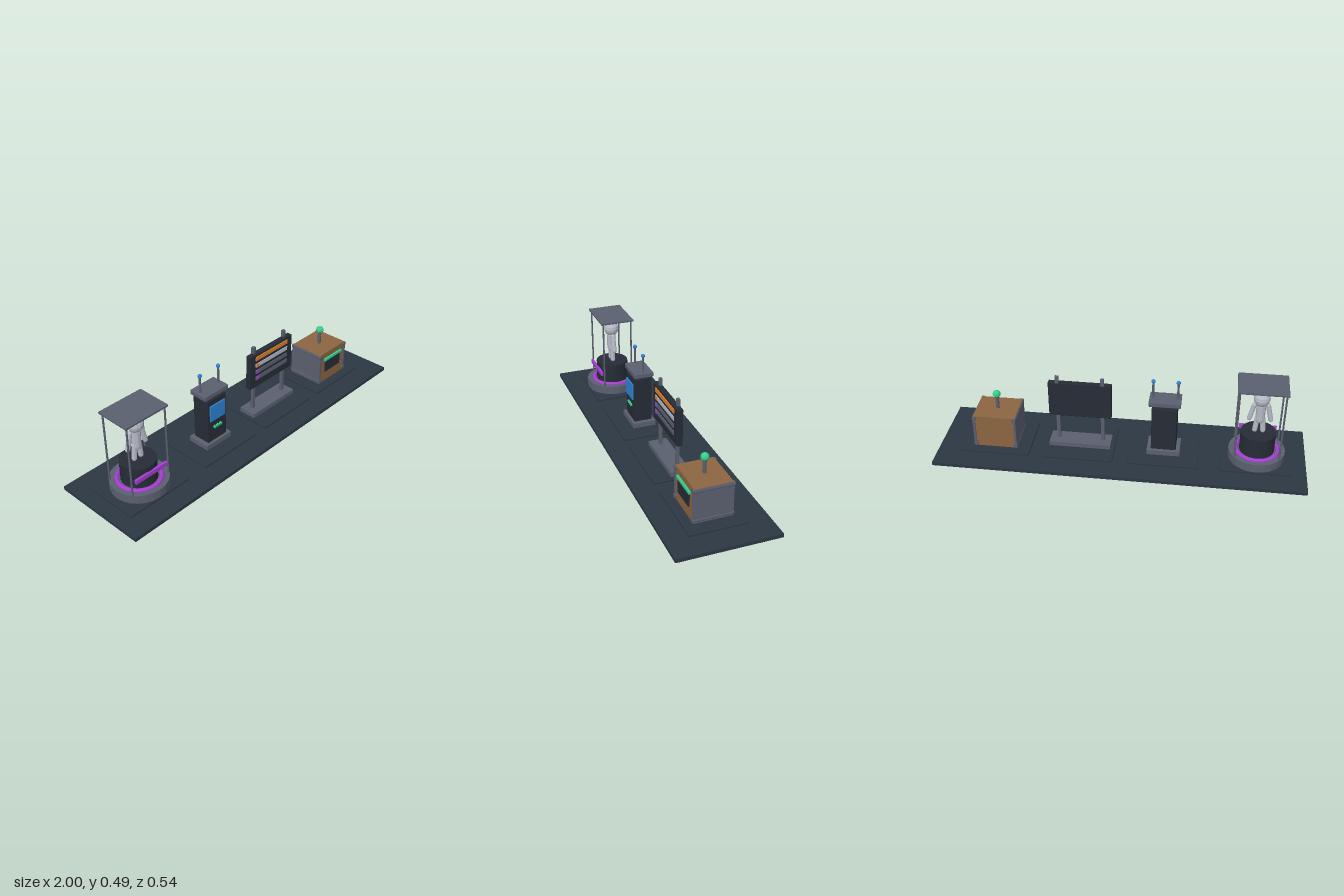
import * as THREE from 'three';
import { RoundedBoxGeometry } from 'three/addons/geometries/RoundedBoxGeometry.js';

const paint = (name, color) => {
  const m = new THREE.MeshStandardMaterial({ color });
  m.name = name;
  return m;
};

export function createModel() {
  const base = paint('slate', 0x2d3743);
  const dark = paint('charcoal', 0x262c36);
  const gray = paint('steel', 0x5b6070);
  const light = paint('pale grey', 0xb6bac6);
  const brown = paint('wood', 0x8c6541);
  const purple = paint('purple', 0xa63fd2);
  const blue = paint('blue', 0x2f82d4);
  const green = paint('green', 0x34cf8c);
  const orange = paint('orange', 0xe07f2e);

  const model = new THREE.Group();
  model.name = 'exhibitRow';

  // Faceted normals for round parts
  const facet = (g) => {
    const f = g.index ? g.toNonIndexed() : g;
    f.computeVertexNormals();
    return f;
  };
  const add = (parent, name, geo, mat, x = 0, y = 0, z = 0) => {
    const m = new THREE.Mesh(geo, mat);
    m.name = name;
    m.position.set(x, y, z);
    parent.add(m);
    return m;
  };
  // Box given by centre x, bottom and top y, centre z, width and depth
  const box = (p, name, mat, x, y0, y1, z, w, d, bevel = 0.002) =>
    add(p, name, bevel ? new RoundedBoxGeometry(w, y1 - y0, d, 1, bevel)
      : new THREE.BoxGeometry(w, y1 - y0, d), mat, x, (y0 + y1) / 2, z);
  const cyl = (p, name, mat, x, y0, y1, z, r, sides = 10) =>
    add(p, name, facet(new THREE.CylinderGeometry(r, r, y1 - y0, sides)), mat, x, (y0 + y1) / 2, z);
  const ball = (p, name, mat, x, y, z, r, w = 16, h = 12) =>
    add(p, name, facet(new THREE.SphereGeometry(r, w, h)), mat, x, y, z);
  // Capsule running between two points
  const limb = (p, name, a, b, r) => {
    const A = new THREE.Vector3(...a), B = new THREE.Vector3(...b);
    const dir = B.clone().sub(A);
    const m = add(p, name, facet(new THREE.CapsuleGeometry(r, dir.length(), 4, 10)), light);
    m.position.copy(A).add(B).multiplyScalar(0.5);
    m.quaternion.setFromUnitVectors(new THREE.Vector3(0, 1, 0), dir.normalize());
  };
  // Each exhibit stands on its own thin pad
  const exhibit = (name, x) => {
    const g = new THREE.Group();
    g.name = name;
    g.position.x = x;
    model.add(g);
    box(g, 'pad', base, 0, 0.02, 0.032, 0, 0.38, 0.304);
    return g;
  };

  box(model, 'groundSlab', base, 0, 0, 0.022, 0, 2, 0.54);

  // Statue under a canopy
  const statue = exhibit('statueDisplay', -0.733);
  cyl(statue, 'plinthBase', gray, 0, 0.032, 0.08, 0, 0.152, 24);
  const ring = add(statue, 'glowRing', new THREE.TorusGeometry(0.112, 0.012, 8, 32), purple, 0, 0.08, 0);
  ring.rotation.x = Math.PI / 2;
  cyl(statue, 'plinth', dark, 0, 0.08, 0.195, 0, 0.094, 24);
  box(statue, 'namePlate', purple, 0, 0.143, 0.168, 0.095, 0.204, 0.014);
  ball(statue, 'head', light, 0, 0.401, 0, 0.044, 12, 8);
  limb(statue, 'torso', [0, 0.36, 0], [0, 0.275, 0], 0.025);
  for (const s of [-1, 1]) {
    limb(statue, 'arm', [s * 0.036, 0.362, 0], [s * 0.056, 0.275, 0], 0.013);
    limb(statue, 'leg', [s * 0.014, 0.28, 0], [s * 0.021, 0.205, 0], 0.014);
    for (const t of [-1, 1]) cyl(statue, 'canopyPost', gray, s * 0.118, 0.078, 0.482, t * 0.085, 0.005, 8);
  }
  box(statue, 'canopy', gray, 0, 0.48, 0.492, 0, 0.262, 0.196);

  // Information kiosk with twin antennas
  const kiosk = exhibit('kiosk', -0.232);
  box(kiosk, 'kioskFoot', gray, 0, 0.032, 0.063, 0, 0.18, 0.132);
  box(kiosk, 'kioskBody', dark, 0, 0.06, 0.323, 0, 0.136, 0.104, 0.006);
  box(kiosk, 'screen', blue, 0, 0.194, 0.29, 0.0555, 0.108, 0.009);
  for (const i of [-1, 0, 1]) {
    const b = cyl(kiosk, 'button', green, i * 0.021, 0.144, 0.156, 0.054, 0.0095, 12);
    b.position.y = 0.15;
    b.rotation.x = Math.PI / 2;
  }
  box(kiosk, 'kioskCap', gray, 0, 0.335, 0.362, 0, 0.17, 0.11, 0.004);
  for (const s of [-1, 1]) {
    cyl(kiosk, 'antenna', gray, s * 0.066, 0.36, 0.455, 0, 0.006, 8);
    ball(kiosk, 'antennaTip', blue, s * 0.066, 0.461, 0, 0.0115, 12, 8);
  }

  // Notice board on two posts
  const board = exhibit('noticeBoard', 0.227);
  box(board, 'boardFoot', gray, 0, 0.032, 0.06, 0, 0.338, 0.104);
  for (const s of [-1, 1]) box(board, 'boardPost', gray, s * 0.122, 0.058, 0.453, 0, 0.02, 0.017);
  box(board, 'boardPanel', dark, 0, 0.207, 0.414, 0.007, 0.342, 0.032, 0.004);
  box(board, 'boardHeader', orange, 0, 0.377, 0.4, 0.025, 0.258, 0.006, 0);
  [[0.346, light, orange], [0.305, gray, purple], [0.265, gray, purple]].forEach(([y, row, tick]) => {
    box(board, 'boardRow', row, 0, y - 0.011, y + 0.011, 0.0245, 0.258, 0.005, 0);
    box(board, 'rowMarker', tick, -0.115, y - 0.01, y + 0.01, 0.0265, 0.022, 0.006, 0);
  });

  // Wooden booth with steel sides and a beacon
  const booth = exhibit('booth', 0.685);
  box(booth, 'boothBody', brown, 0, 0.032, 0.225, 0, 0.23, 0.2);
  for (const s of [-1, 1]) {
    box(booth, 'sidePanel', gray, s * 0.112, 0.034, 0.222, 0, 0.014, 0.21);
    for (const y of [0.05, 0.211]) {
      const rail = cyl(booth, 'sideRail', gray, s * 0.109, y - 0.107, y + 0.107, 0, 0.0125, 10);
      rail.rotation.x = Math.PI / 2;
    }
  }
  box(booth, 'hatch', dark, 0, 0.1, 0.176, 0.103, 0.134, 0.009, 0);
  box(booth, 'hatchLight', green, 0, 0.174, 0.19, 0.105, 0.156, 0.013);
  cyl(booth, 'beaconPole', gray, 0, 0.222, 0.3, 0, 0.01, 10);
  ball(booth, 'beacon', green, 0, 0.313, 0, 0.0215);

  return model;
}
